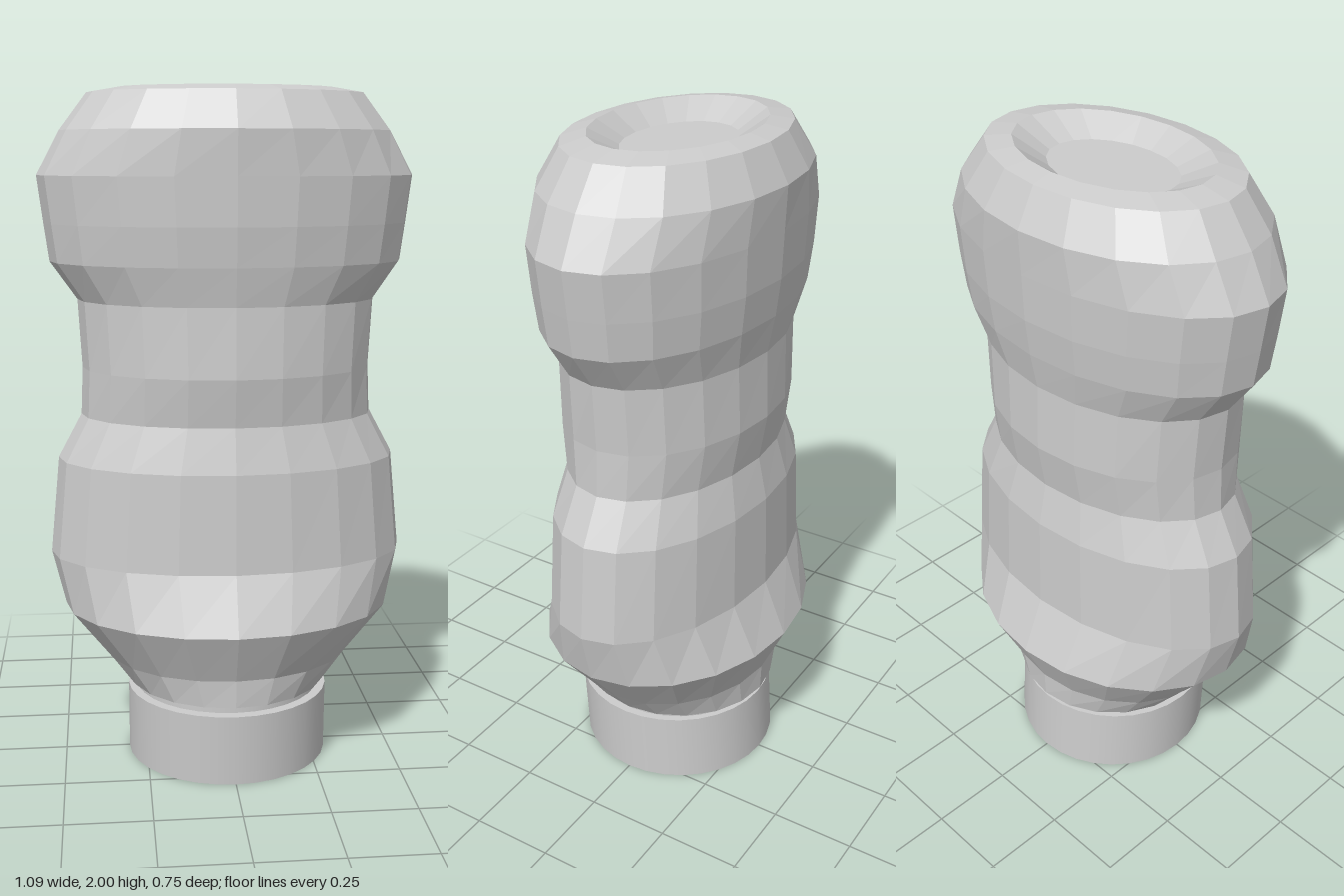
import * as THREE from 'three';

const SIDES = 20;

// Skin a stack of elliptical rings [y, radiusX, radiusZ], bottom to top, and close both ends.
function loftEllipses(rings) {
  const pos = [], index = [];
  for (const [y, rx, rz, dz = 0] of rings) {
    for (let i = 0; i < SIDES; i++) {
      const a = (i / SIDES) * Math.PI * 2;
      pos.push(Math.cos(a) * rx, y, Math.sin(a) * rz + dz);
    }
  }
  for (let r = 0; r < rings.length - 1; r++) {
    for (let i = 0; i < SIDES; i++) {
      const j = (i + 1) % SIDES;
      const a = r * SIDES + i, b = r * SIDES + j;
      index.push(a, a + SIDES, b, b, a + SIDES, b + SIDES);
    }
  }
  // End caps
  const last = rings.length - 1;
  const bottom = pos.length / 3;
  pos.push(0, rings[0][0], 0, 0, rings[last][0], 0);
  for (let i = 0; i < SIDES; i++) {
    const j = (i + 1) % SIDES;
    index.push(bottom, i, j);
    index.push(bottom + 1, last * SIDES + j, last * SIDES + i);
  }
  const geo = new THREE.BufferGeometry();
  geo.setAttribute('position', new THREE.Float32BufferAttribute(pos, 3));
  geo.setIndex(index);
  const flat = geo.toNonIndexed();
  flat.computeVertexNormals();
  return flat;
}

export function createModel() {
  const model = new THREE.Group();
  const smooth = new THREE.MeshStandardMaterial({ color: 0xcccccc });
  const faceted = new THREE.MeshStandardMaterial({ color: 0xcccccc, flatShading: true });

  const add = (name, geo, mat) => {
    const mesh = new THREE.Mesh(geo, mat);
    mesh.name = name;
    model.add(mesh);
    return mesh;
  };

  // Round base collar, leaning very slightly forward at its top
  const collar = new THREE.CylinderGeometry(0.304, 0.304, 0.216, 32);
  collar.translate(0, 0.108, 0);
  collar.applyMatrix4(new THREE.Matrix4().makeShear(0, 0, 0, 0.06, 0, 0));
  add('baseCollar', collar, smooth);

  // Recessed neck between collar and body
  const neck = new THREE.CylinderGeometry(0.28, 0.28, 0.06, 32);
  neck.translate(0, 0.22, 0.005);
  add('neck', neck, smooth);

  // Waisted grip body with a dished top
  add('gripBody', loftEllipses([
    [0.237, 0.30, 0.30],
    [0.32, 0.365, 0.303],
    [0.475, 0.49, 0.376],
    [0.64, 0.53, 0.306],
    [0.93, 0.502, 0.298],
    [1.06, 0.432, 0.27],
    [1.20, 0.426, 0.293],
    [1.40, 0.437, 0.286],
    [1.51, 0.515, 0.307],
    [1.62, 0.53, 0.32],
    [1.755, 0.547, 0.325],
    [1.88, 0.48, 0.33],
    [1.985, 0.40, 0.274],
    [2.0, 0.312, 0.214],
    [1.95, 0.205, 0.142],
  ]), faceted);

  return model;
}
